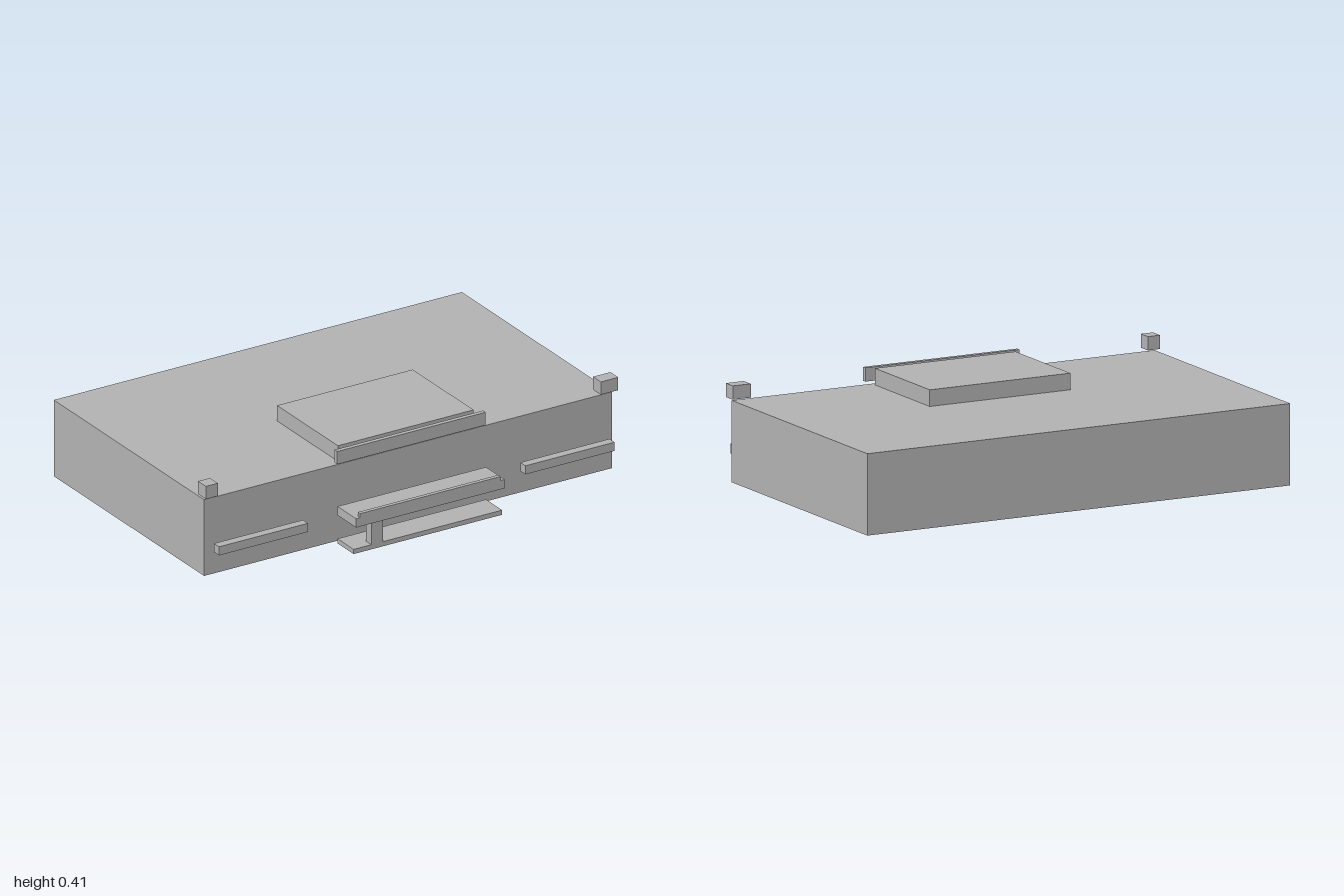
import * as THREE from 'three';

export function createModel() {
  const group = new THREE.Group();
  const grey = new THREE.MeshStandardMaterial({ color: 0xb2b2b2, side: THREE.DoubleSide });
  grey.name = 'grey';

  const addMesh = (name, geometry) => {
    const mesh = new THREE.Mesh(geometry, grey);
    mesh.name = name;
    group.add(mesh);
    return mesh;
  };

  // Box given by its extents; the faces listed in skip are left out
  // (face order: +x, -x, top, bottom, +z, -z)
  const box = (name, [x0, x1], [y0, y1], [z0, z1], skip = []) => {
    const g = new THREE.BoxGeometry(x1 - x0, y1 - y0, z1 - z0);
    g.translate((x0 + x1) / 2, (y0 + y1) / 2, (z0 + z1) / 2);
    const index = Array.from(g.index.array);
    g.setIndex(index.filter((_, i) => !skip.includes(Math.floor(i / 6))));
    g.clearGroups();
    return addMesh(name, g);
  };
  const TOP = 2, BOTTOM = 3;

  const bodyX = [-0.995, 0.984], bodyZ = [-0.66, 0.495], roofY = 0.344, topY = 0.414;
  const hatchX = [-0.33, 0.328], hatchZ = [0.002, 0.469];

  // Hollow main building, open below
  box('buildingWalls', bodyX, [0, roofY], bodyZ, [TOP, BOTTOM]);

  // Flat roof with an opening under the raised block
  const rect = (Path, [x0, x1], [z0, z1]) => new Path([
    new THREE.Vector2(x0, -z1), new THREE.Vector2(x1, -z1),
    new THREE.Vector2(x1, -z0), new THREE.Vector2(x0, -z0),
  ]);
  const roof = rect(THREE.Shape, bodyX, bodyZ);
  roof.holes.push(rect(THREE.Path, hatchX, hatchZ));
  const roofGeometry = new THREE.ShapeGeometry(roof);
  roofGeometry.rotateX(-Math.PI / 2).translate(0, roofY, 0);
  addMesh('roof', roofGeometry);

  // Raised hollow block and the board in front of it
  box('roofBlock', hatchX, [roofY, topY], hatchZ, [BOTTOM]);
  box('signBoard', [-0.362, 0.358], [0.356, topY], [0.495, 0.515]);

  // Small blocks above the front corners
  for (const x of [[-1, -0.942], [0.916, 1]]) {
    box('cornerBlock', x, [0.356, topY], [0.456, 0.516]);
  }

  // Ledges on either side of the entrance
  for (const x of [[-0.961, -0.53], [0.525, 0.957]]) {
    box('sideLedge', x, [0.108, 0.147], [0.517, 0.556]);
  }

  // Entrance: hollow step, single post, canopy with a raised front lip
  box('entranceStep', [-0.362, 0.358], [0, 0.021], [0.517, 0.641], [BOTTOM]);
  box('entrancePost', [-0.276, -0.22], [0.021, 0.127], [0.6, 0.641], [TOP, BOTTOM]);
  box('canopy', [-0.362, 0.358], [0.127, 0.167], [0.517, 0.66]);
  box('canopyLip', [-0.342, 0.338], [0.167, 0.185], [0.642, 0.66], [BOTTOM]);

  return group;
}
